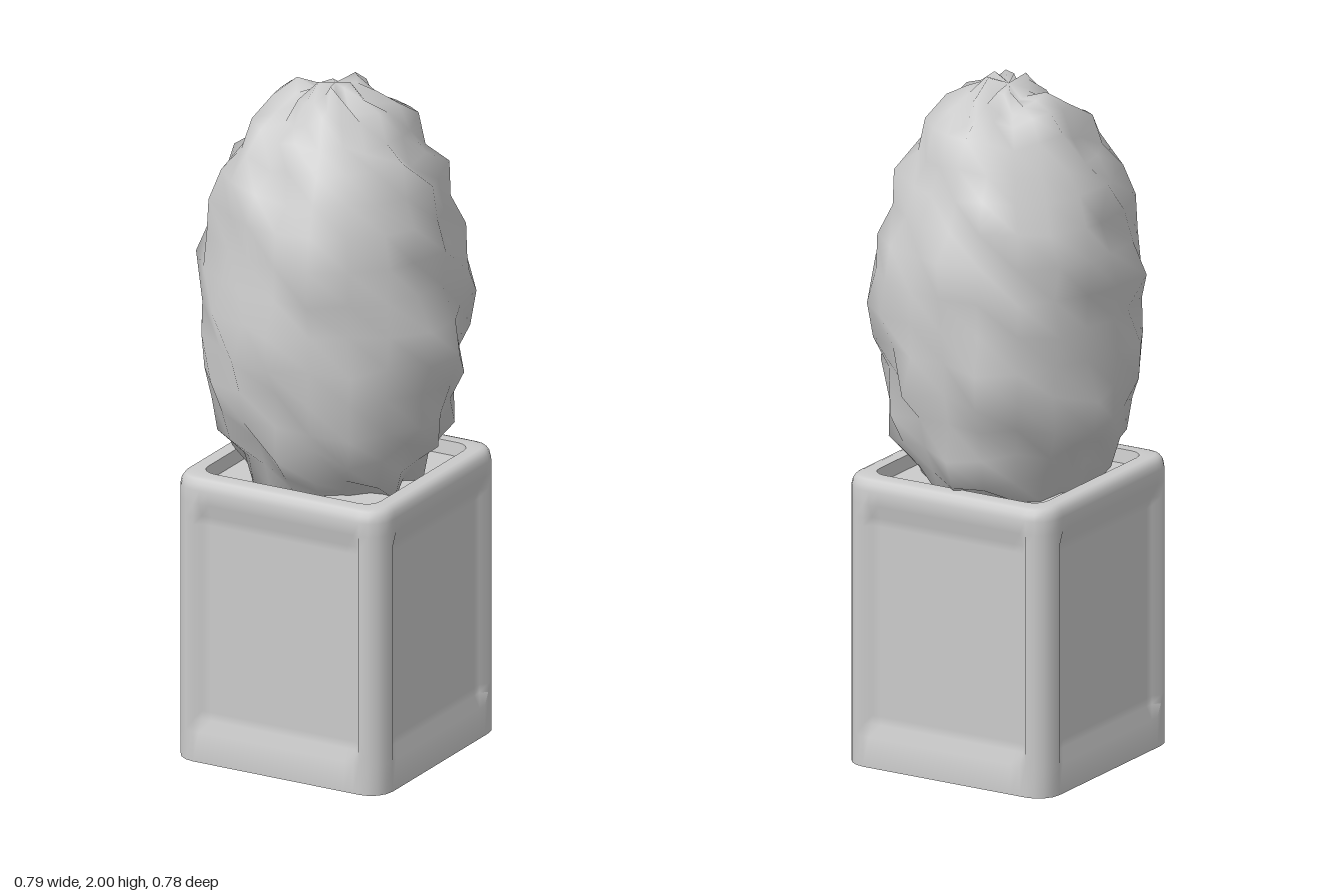
import * as THREE from 'three';
import { mergeVertices, toCreasedNormals } from 'three/addons/utils/BufferGeometryUtils.js';

const CENTRE = 0.007; // the pot sits slightly off the axis
const material = new THREE.MeshStandardMaterial({ color: 0xcccccc });

// One rounded-square ring; the flat of each side can be pressed in by `inset`
function squareRing(half, radius, y, inset = 0) {
  const ring = [];
  const up = new THREE.Vector3(0, 1, 0);
  const c = half - radius;
  for (let side = 0; side < 4; side++) {
    const points = [];
    for (let k = 0; k <= 4; k++) { // rounded corner
      const t = (k / 4) * Math.PI / 2;
      points.push([-c - radius * Math.cos(t), c + radius * Math.sin(t)]);
    }
    for (const f of [-0.93, -0.82, 0.82, 0.93]) points.push([c * f, half - inset]); // side panel
    for (const [x, z] of points) {
      ring.push(new THREE.Vector3(x, y, z).applyAxisAngle(up, side * Math.PI / 2));
    }
  }
  return ring;
}

// Skin a stack of equal-length rings and close both ends
function loft(rings, crease) {
  const n = rings[0].length;
  const last = rings.length - 1;
  const positions = [], index = [];
  rings.forEach(r => r.forEach(p => positions.push(p.x, p.y, p.z)));
  for (let i = 0; i < last; i++) {
    for (let j = 0; j < n; j++) {
      const a = i * n + j, b = i * n + (j + 1) % n;
      index.push(a, b, b + n, a, b + n, a + n);
    }
  }
  const foot = positions.length / 3;
  positions.push(0, rings[0][0].y, 0, 0, rings[last][0].y, 0);
  for (let j = 0; j < n; j++) {
    const k = (j + 1) % n;
    index.push(foot, k, j, foot + 1, last * n + j, last * n + k);
  }
  const geometry = new THREE.BufferGeometry();
  geometry.setAttribute('position', new THREE.Float32BufferAttribute(positions, 3));
  geometry.setIndex(index);
  return toCreasedNormals(geometry, crease);
}

// Repeatable value in -1..1 for a grid cell
function noise(i, j) {
  let h = Math.imul(i + 11, 374761393) ^ Math.imul(j + 5, 668265263);
  h = Math.imul(h ^ (h >>> 13), 1274126177);
  h = Math.imul(h ^ (h >>> 15), 2246822519);
  return ((h ^ (h >>> 16)) >>> 0) / 2147483648 - 1;
}

function createPot() {
  // half width, corner radius, height, panel inset
  const profile = [
    [0.339, 0.07, 0, 0],
    [0.339, 0.07, 0.09, 0],
    [0.339, 0.07, 0.125, 0.018],
    [0.339, 0.07, 0.15, 0.018],
    [0.339, 0.07, 0.71, 0.018],
    [0.339, 0.07, 0.735, 0.018],
    [0.339, 0.07, 0.775, 0],
    [0.339, 0.07, 0.815, 0],
    [0.335, 0.066, 0.833, 0],
    [0.326, 0.058, 0.846, 0],
    [0.314, 0.048, 0.85, 0],
    [0.28, 0.045, 0.85, 0], // rim
    [0.275, 0.04, 0.81, 0], // soil level
  ];
  const pot = new THREE.Mesh(loft(profile.map(p => squareRing(...p)), 1), material);
  pot.name = 'pot';
  pot.position.set(CENTRE, 0, CENTRE);
  return pot;
}

function createBush() {
  const columns = 20, rows = 20;
  const geometry = new THREE.SphereGeometry(1, columns, rows);
  const position = geometry.attributes.position;
  const v = new THREE.Vector3();
  for (let i = 0; i < position.count; i++) {
    const row = Math.floor(i / (columns + 1));
    const column = i % (columns + 1) % columns;
    const pole = row === 0 || row === rows;
    v.fromBufferAttribute(position, i);
    // egg-shaped body, fuller below, with bumps pushed in and out
    const bump = v.clone().multiplyScalar(pole ? 0 : 0.034 * noise(row, column));
    const width = 0.372 + 0.03 * Math.max(0, -v.y);
    v.set(v.x * width, v.y * 0.64, v.z * width).add(bump);
    position.setXYZ(i, v.x, Math.min(v.y + 1.335, 2), v.z);
  }
  geometry.deleteAttribute('uv');
  geometry.deleteAttribute('normal');
  const smooth = mergeVertices(geometry, 1e-4);
  smooth.computeVertexNormals();
  const bush = new THREE.Mesh(smooth, material);
  bush.name = 'bush';
  return bush;
}

export function createModel() {
  const model = new THREE.Group();
  model.name = 'pottedBush';
  model.add(createPot(), createBush());
  return model;
}
